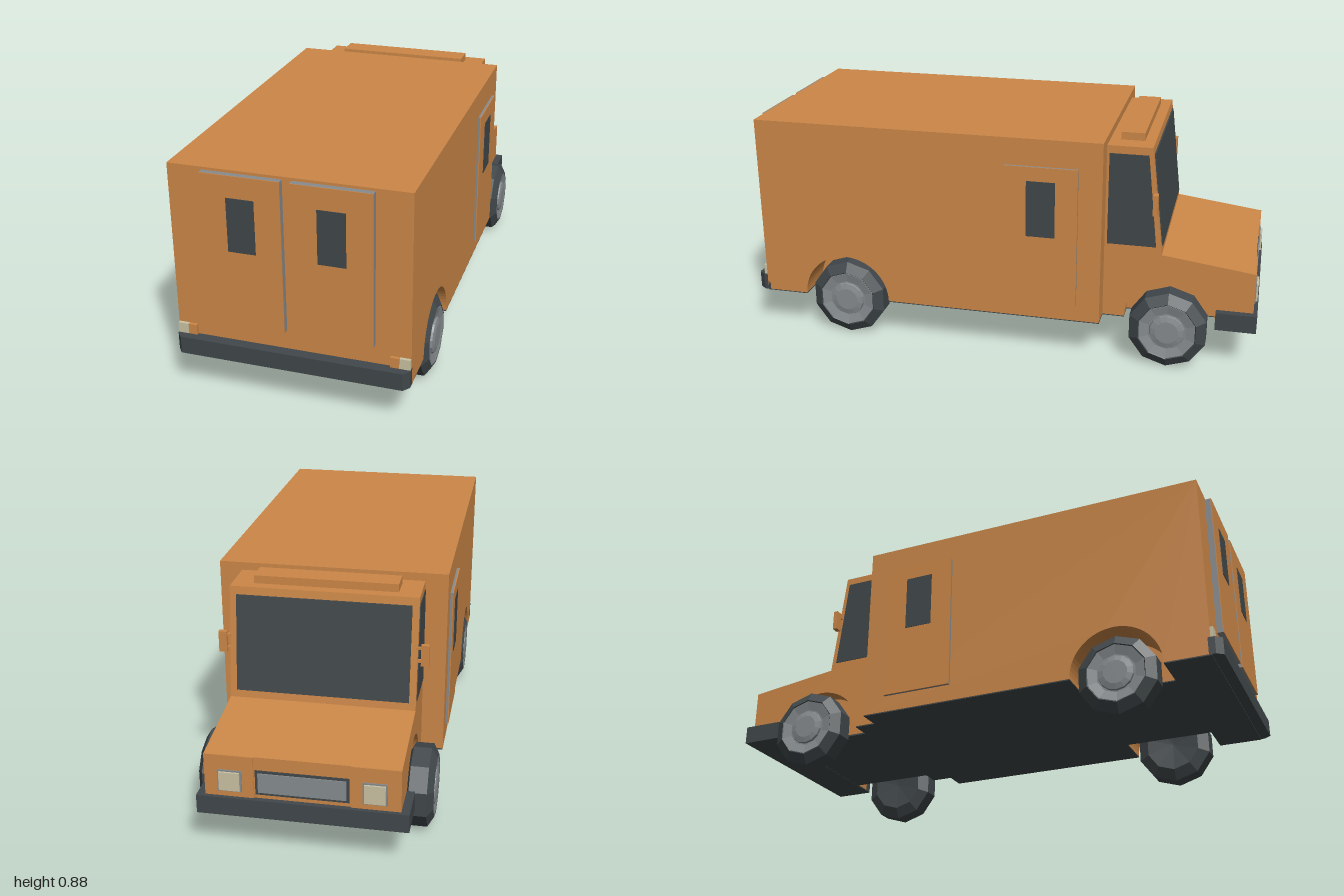
import * as THREE from 'three';

const mat = (name, color) => new THREE.MeshStandardMaterial({ name, color });

export function createModel() {
  const van = new THREE.Group();
  van.name = 'deliveryVan';
  const paint = mat('orange paint', 0xcd8848);
  const dark = mat('dark trim', 0x41484b);
  const grey = mat('grey metal', 0x878c8f);
  const cream = mat('lamp cream', 0xcbc3a3);

  const add = (name, geo, material, parent = van) => {
    const mesh = new THREE.Mesh(geo, material);
    mesh.name = name;
    parent.add(mesh);
    return mesh;
  };
  // Box given by its two corners
  const box = (name, material, x0, x1, y0, y1, z0, z1, parent) => {
    const g = new THREE.BoxGeometry(Math.abs(x1 - x0), y1 - y0, Math.abs(z1 - z0));
    g.translate((x0 + x1) / 2, (y0 + y1) / 2, (z0 + z1) / 2);
    return add(name, g, material, parent);
  };
  // Side profile (forward distance, height) extruded from x0 to x1
  const slab = (name, material, shape, x0, x1) => {
    const g = new THREE.ExtrudeGeometry(shape, { depth: Math.abs(x1 - x0), bevelEnabled: false, curveSegments: 16 });
    g.rotateY(Math.PI / 2).translate(Math.min(x0, x1), 0, 0);
    return add(name, g, material);
  };
  const poly = (pts) => new THREE.Shape(pts.map(([s, y]) => new THREE.Vector2(s, y)));
  // Closed profile with a half-round wheel arch in its bottom edge
  const arched = (start, arch, rest) => {
    const s = new THREE.Shape();
    s.moveTo(start, 0.16);
    s.lineTo(arch - 0.175, 0.16);
    s.absarc(arch, 0.16, 0.175, Math.PI, 0, true);
    rest.forEach(([x, y]) => s.lineTo(x, y));
    s.closePath();
    return s;
  };
  const faceted = (pts, sides) => {
    const g = new THREE.LatheGeometry(pts.map(([r, y]) => new THREE.Vector2(r, y)), sides, Math.PI / 2).toNonIndexed();
    g.computeVertexNormals();
    return g.rotateZ(-Math.PI / 2);
  };

  const REAR = -0.615, FRONT = 0.67, WELL = 0.27;
  const cabTop = [[0.98, 0.16], [0.98, 0.385], [0.63, 0.43], [0.58, 0.85], [0.41, 0.85]];

  // Cargo box and cab, solid between the wheel wells
  box('cargoCentre', paint, -WELL, WELL, 0.16, 0.88, -0.41, 0.96);
  slab('cabCentre', paint, poly([[0.41, 0.16], ...cabTop]), -WELL, WELL);
  const cargoSide = arched(-0.96, REAR, [[0.41, 0.16], [0.41, 0.88], [-0.96, 0.88]]);
  const cabSide = arched(0.41, FRONT, cabTop);
  box('roofVent', paint, -0.265, 0.265, 0.85, 0.88, -0.54, -0.45);

  // Chassis underside
  box('chassis', dark, -WELL, WELL, 0.156, 0.162, -0.98, 0.96);

  // Windscreen
  slab('windscreen', dark, poly([[0.62, 0.46], [0.632, 0.46], [0.589, 0.82], [0.577, 0.82]]), -0.32, 0.32);

  // Bumpers
  box('frontBumper', dark, -0.375, 0.375, 0.155, 0.225, -1, -0.845);
  const plan = poly([[-0.43, -0.95], [-0.43, -0.975], [-0.41, -1], [0.41, -1], [0.43, -0.975], [0.43, -0.95]]);
  const rearBumper = new THREE.ExtrudeGeometry(plan, { depth: 0.066, bevelEnabled: false });
  add('rearBumper', rearBumper.rotateX(-Math.PI / 2).translate(0, 0.159, 0), dark);

  // Grille
  box('grilleFrame', dark, -0.165, 0.165, 0.24, 0.335, -0.983, -0.975);
  box('grille', grey, -0.155, 0.155, 0.25, 0.325, -0.987, -0.98);

  // Wheel shapes: ten-sided tyre, rim and hub
  const tyre = faceted([[0, -0.045], [0.11, -0.055], [0.153, -0.033], [0.153, 0.033], [0.115, 0.055], [0.105, 0.044], [0, 0.044]], 10);
  const rim = faceted([[0.113, 0.04], [0.111, 0.054], [0.075, 0.046], [0, 0.046]], 10);
  const hub = faceted([[0.07, 0.04], [0.066, 0.054], [0.045, 0.059], [0, 0.059]], 14);

  for (const m of [1, -1]) {
    const side = m > 0 ? 'left' : 'right';
    const part = (name, material, x0, x1, ...rest) => box(side + name, material, m * x0, m * x1, ...rest);

    // Outer body with arches
    slab(side + 'CargoSide', paint, cargoSide, m * WELL, m * 0.43);
    slab(side + 'CabSide', paint, cabSide, m * WELL, m * 0.345);

    // Underside strips between the wells
    for (const [x, z0, z1] of [[0.43, 0.79, 0.96], [0.43, -0.41, 0.44], [0.345, -0.495, -0.41]])
      part('Sill', dark, WELL, x - 0.001, 0.156, 0.162, z0, z1);

    // Wheels
    for (const [end, z] of [['Rear', -REAR], ['Front', -FRONT]]) {
      const wheel = new THREE.Group();
      wheel.name = side + end + 'Wheel';
      wheel.position.set(m * 0.38, 0.153, z);
      if (m < 0) wheel.rotation.y = Math.PI;
      add('tyre', tyre, dark, wheel);
      add('rim', rim, grey, wheel);
      add('hub', hub, grey, wheel);
      van.add(wheel);
    }

    // Cab side window
    slab(side + 'CabWindow', dark, poly([[0.42, 0.46], [0.607, 0.46], [0.567, 0.82], [0.42, 0.82]]), m * 0.341, m * 0.348);

    // Sliding side door: grey edge, painted face, window
    part('DoorEdge', grey, 0.425, 0.439, 0.225, 0.775, -0.32, -0.04);
    part('DoorFace', paint, 0.438, 0.442, 0.225, 0.775, -0.32, -0.04);
    part('DoorWindow', dark, 0.438, 0.444, 0.5, 0.72, -0.235, -0.125);

    // Rear door: grey edge, painted face, window
    part('RearDoorEdge', grey, 0.017, 0.303, 0.3, 0.87, 0.95, 0.982);
    part('RearDoorFace', paint, 0.017, 0.303, 0.3, 0.87, 0.981, 0.985);
    part('RearDoorWindow', dark, 0.11, 0.21, 0.59, 0.79, 0.981, 0.987);

    // Tail lamps
    part('TailLamp', cream, 0.39, 0.429, 0.226, 0.265, 0.95, 0.972);
    part('Indicator', paint, 0.357, 0.389, 0.226, 0.265, 0.95, 0.972);

    // Headlamp panel and lamp
    part('LampPanel', paint, 0.17, 0.345, 0.225, 0.385, -0.985, -0.975);
    part('LampBezel', grey, 0.212, 0.298, 0.246, 0.329, -0.989, -0.98);
    part('Headlamp', cream, 0.218, 0.292, 0.252, 0.323, -0.996, -0.985);

    // Door mirror on two short arms
    for (const y of [0.61, 0.66]) part('MirrorArm', paint, 0.34, 0.37, y, y + 0.01, -0.603, -0.593);
    part('Mirror', paint, 0.357, 0.387, 0.6, 0.68, -0.61, -0.592);
  }
  return van;
}
